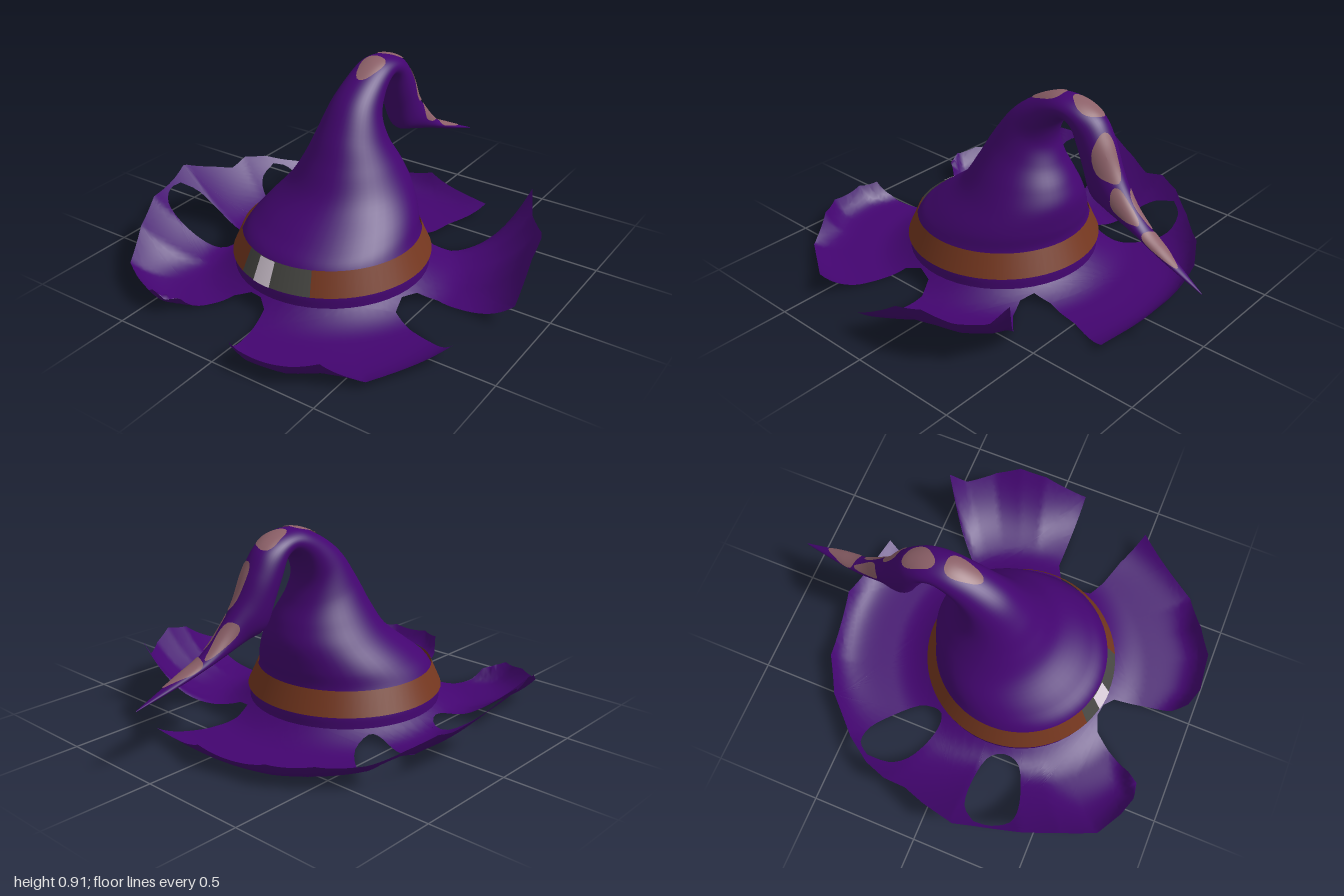
import * as THREE from 'three';
import { mergeVertices } from 'three/addons/utils/BufferGeometryUtils.js';

const material = (name, color) => {
  const m = new THREE.MeshStandardMaterial({ color, side: THREE.DoubleSide });
  m.name = name;
  return m;
};

// Join seams and compute smooth normals
function smooth(geometry) {
  geometry.deleteAttribute('normal');
  geometry.deleteAttribute('uv');
  const g = mergeVertices(geometry, 1e-4);
  g.computeVertexNormals();
  return g;
}

// Crown sections: front y, z; back y, z; half width; centre x
const SECTIONS = [
  [0.065, 0.582, 0.065, -0.302, 0.442, -0.02],
  [0.12, 0.577, 0.12, -0.297, 0.437, -0.02],
  [0.22, 0.535, 0.22, -0.26, 0.395, -0.02],
  [0.29, 0.45, 0.30, -0.265, 0.355, -0.015],
  [0.41, 0.30, 0.40, -0.265, 0.275, -0.01],
  [0.53, 0.22, 0.48, -0.235, 0.215, -0.01],
  [0.65, 0.15, 0.57, -0.185, 0.16, -0.015],
  [0.78, 0.05, 0.66, -0.157, 0.12, -0.02],
  [0.865, -0.07, 0.73, -0.17, 0.10, -0.02],
  [0.91, -0.18, 0.785, -0.205, 0.09, -0.02],
  [0.912, -0.26, 0.81, -0.25, 0.085, -0.02],
  [0.892, -0.34, 0.79, -0.285, 0.085, -0.022],
  [0.85, -0.41, 0.72, -0.31, 0.085, -0.025],
  [0.77, -0.465, 0.62, -0.35, 0.085, -0.022],
  [0.65, -0.525, 0.505, -0.395, 0.075, -0.015],
  [0.545, -0.60, 0.475, -0.475, 0.058, 0],
  [0.455, -0.69, 0.42, -0.64, 0.044, 0.01],
  [0.395, -0.80, 0.365, -0.79, 0.032, 0.03],
  [0.30, -1.0, 0.296, -1.0, 0.002, 0.06],
];
const frontLine = new THREE.CatmullRomCurve3(SECTIONS.map(s => new THREE.Vector3(s[5], s[0], s[1])));
const backLine = new THREE.CatmullRomCurve3(SECTIONS.map(s => new THREE.Vector3(s[4], s[2], s[3])));

// Point on the crown at t along it and angle a around it (0 = front and top)
function crownPoint(t, a, lift = 0) {
  const f = frontLine.getPoint(t), b = backLine.getPoint(t);
  const hy = (f.y - b.y) / 2, hz = (f.z - b.z) / 2;
  const k = Math.cos(a) * (1 + lift / (Math.hypot(hy, hz) + 1e-4));
  return new THREE.Vector3(f.x + (b.x + lift) * Math.sin(a), (f.y + b.y) / 2 + hy * k, (f.z + b.z) / 2 + hz * k);
}

function mapVertices(geometry, rule) {
  const p = geometry.attributes.position;
  for (let i = 0; i < p.count; i++) {
    const v = rule(p.getX(i), p.getY(i));
    p.setXYZ(i, v.x, v.y, v.z);
  }
  return smooth(geometry);
}

// Irregular worn spot lying on the crown
function spot(index, angle, lengthRadius, angleRadius, phase) {
  return mapVertices(new THREE.RingGeometry(0.001, 1, 28, 6), (x, y) => {
    const w = 1 + 0.1 * Math.sin(3 * Math.atan2(y, x) + phase);
    const t = (index + y * w * lengthRadius) / (SECTIONS.length - 1);
    return crownPoint(t, angle + x * w * angleRadius, 0.004);
  });
}

// Brim plan in hundredths, x and z in turn
const pairs = list => {
  const out = [];
  for (let i = 0; i < list.length; i += 2) out.push(new THREE.Vector2(list[i] / 100, list[i + 1] / 100));
  return out;
};
const roundHole = list => {
  const p = pairs(list);
  return new THREE.SplineCurve([...p, p[0]]).getPoints(30).slice(0, -1);
};
const OUTLINE = pairs([
  -3, -77, 32, -71, 23, -50, 20, -34, 22, -26, 29, -24, 37, -27, 50, -39, 65, -51, 69, -44, 79, -32,
  84, -21, 86, -8, 89, 13, 72, 13, 53, 13, 45, 17, 42, 25, 44, 33, 53, 37, 66, 41, 81, 48, 71, 63,
  60, 80, 45, 89, 33, 97, 15, 99, 6, 96, 2, 90, 0, 77, -3, 63, -8, 59, -14, 58, -21, 61, -27, 69,
  -33, 79, -38, 86, -46, 87, -55, 84, -67, 77, -75, 61, -82, 45, -87, 26, -90, 16, -86, 0, -82, -11,
  -82, -21, -78, -32, -69, -45, -53, -61, -36, -71,
]);
const HOLES = [
  roundHole([-74, -34, -69, -40, -60, -40, -50, -33, -41, -23, -40, -13, -45, -10, -55, -12, -67, -17, -73, -24]),
  roundHole([-85, 24, -79, 17, -66, 15, -53, 17, -48, 24, -50, 32, -60, 37, -71, 40, -79, 39, -84, 32]),
  Array.from({ length: 48 }, (_, i) => {
    const a = i / 48 * Math.PI * 2;
    return new THREE.Vector2(-0.02 + 0.436 * Math.sin(a), 0.14 + 0.436 * Math.cos(a));
  }),
];

// Brim edge by compass angle (0 = front, 90 = left side): angle, radius, rise, sharpness of the curl
const EDGE = [
  [-180, 0.91, 0.1, 9], [-158, 0.915, 0.1, 9], [-132, 0.89, 0.11, 4], [-113, 0.87, 0.2, 2.5],
  [-90, 0.88, 0.28, 1.7], [-69, 0.86, 0.26, 1.7], [-57, 0.87, 0.2, 2.2], [-46, 0.905, 0.11, 4],
  [-31, 0.853, 0.1, 8], [-25, 0.72, 0.05, 8], [-8, 0.7, 0.02, 8], [5, 0.82, 0.1, 10],
  [11, 0.867, 0.105, 10], [23, 0.9, 0.1, 10], [32, 0.88, 0.1, 10], [43, 0.907, 0.035, 7],
  [68, 0.897, 0.11, 5], [91, 0.91, 0.115, 4], [104, 0.907, 0.23, 3], [112, 0.93, 0.265, 3],
  [120, 0.93, 0.22, 3], [129, 0.917, 0.22, 3], [134, 0.93, 0.31, 3], [158, 0.906, 0.04, 6], [180, 0.91, 0.1, 9],
];
function brimHeight(x, z) {
  const dx = x + 0.02, dz = z - 0.14, r = Math.hypot(dx, dz);
  const angle = THREE.MathUtils.radToDeg(Math.atan2(dx, dz));
  let i = 1;
  while (i < EDGE.length - 1 && EDGE[i][0] < angle) i++;
  const low = EDGE[i - 1], high = EDGE[i];
  const k = (angle - low[0]) / (high[0] - low[0]);
  const [radius, rise, power] = [1, 2, 3].map(j => THREE.MathUtils.lerp(low[j], high[j], k));
  const reach = THREE.MathUtils.clamp((r - 0.47) / (radius - 0.47), 0, 1.02);
  // Gentle flare out of the crown, then the curl of the edge
  const flare = Math.pow(1 - THREE.MathUtils.clamp((r - 0.436) / 0.18, 0, 1), 2);
  return 0.004 + 0.062 * flare + rise * Math.pow(reach, power);
}

// Triangulate the plan, halve long edges, then lift each point
function brimGeometry() {
  const points = [OUTLINE, ...HOLES].flat(), positions = [];
  const split = (a, b, c) => {
    const ab = a.distanceTo(b), bc = b.distanceTo(c), ca = c.distanceTo(a);
    if (bc > ab && bc >= ca) return split(b, c, a);
    if (ca > ab && ca > bc) return split(c, a, b);
    if (ab > 0.03) {
      const m = a.clone().add(b).multiplyScalar(0.5);
      split(a, m, c);
      split(m, b, c);
    } else {
      for (const p of [a, c, b]) positions.push(p.x, brimHeight(p.x, p.y), p.y);
    }
  };
  for (const [a, b, c] of THREE.ShapeUtils.triangulateShape(OUTLINE, HOLES)) split(points[a], points[b], points[c]);
  const g = new THREE.BufferGeometry();
  g.setAttribute('position', new THREE.Float32BufferAttribute(positions, 3));
  return smooth(g);
}

export function createModel() {
  const model = new THREE.Group();
  model.name = 'floppyHat';
  const purple = material('purpleCloth', 0x430570);
  const brown = material('brownLeather', 0x75371f);
  const grey = material('greyMetal', 0x484844);
  const white = material('paleShine', 0xdccfdc);
  const pink = material('dustyPink', 0x8c6068);
  const add = (name, geometry, mat) => {
    const mesh = new THREE.Mesh(geometry, mat);
    mesh.name = name;
    model.add(mesh);
    return mesh;
  };

  // Bent crown and torn brim
  add('crown', mapVertices(new THREE.PlaneGeometry(1, 1, 48, 110), (x, y) => crownPoint(y + 0.5, x * Math.PI * 2)), purple);
  add('brim', brimGeometry(), purple);

  // Band, buckle and its shine, as arcs in degrees from the front
  const arc = (name, from, to, out, mat) => {
    const rad = THREE.MathUtils.degToRad;
    const segments = Math.ceil((to - from) / 5);
    const g = new THREE.CylinderGeometry(0.403 + out, 0.45 + out, 0.105, segments, 1, true, rad(from), rad(to - from));
    add(name, g, mat).position.set(-0.02, 0.1725, 0.14);
  };
  arc('hatBand', 23, 335, 0, brown);
  arc('buckle', -25, 23, 0, grey);
  arc('buckleShine', -13.5, -1.5, 0.003, white);

  // Worn spots along the drooping tip
  [
    [8.75, 0.12, 0.8, 0.58, 0], [11, -0.05, 0.95, 0.65, 1], [13.4, 0.55, 0.85, 0.7, 2],
    [15.3, -0.55, 0.75, 0.6, 3], [15.1, 0.85, 0.7, 0.6, 1], [16.7, 0.25, 0.65, 1.3, 4],
  ].forEach((s, i) => add('wornSpot' + (i + 1), spot(...s), pink));

  return model;
}
